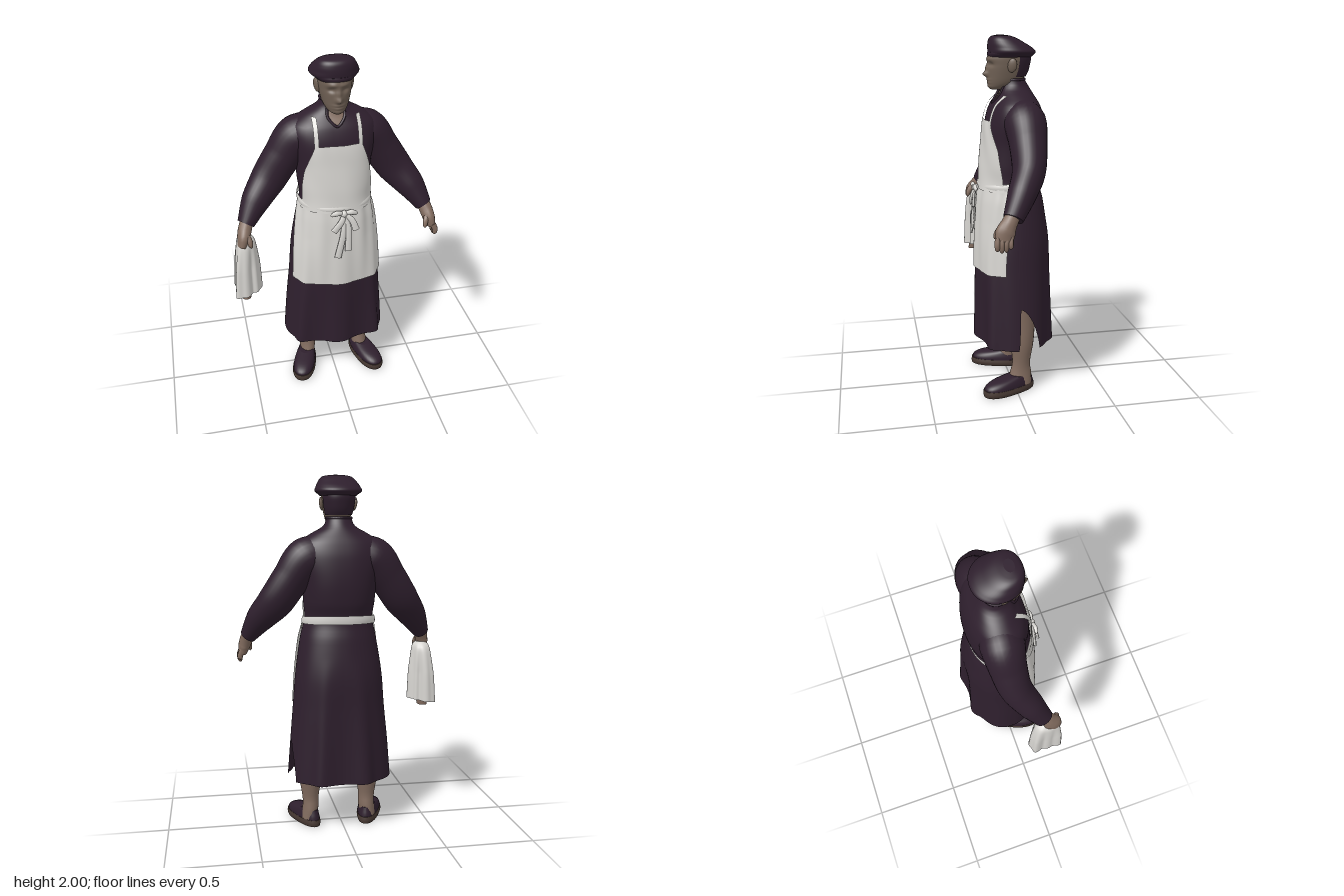
import * as THREE from 'three';

const mat = (name, color, double) => {
  const m = new THREE.MeshStandardMaterial({ color });
  m.name = name;
  if (double) m.side = THREE.DoubleSide;
  return m;
};
const gauss = (d, s) => Math.exp(-(d * d) / (s * s));
const lerp = THREE.MathUtils.lerp;
const wrapAngle = (a) => Math.atan2(Math.sin(a), Math.cos(a));

// Grid surface from fn(u, v): u runs right and v runs up as seen from outside
function grid(nu, nv, fn, { wrap = false, caps = false } = {}) {
  const pos = [], idx = [], cols = wrap ? nu : nu + 1;
  for (let j = 0; j <= nv; j++) for (let i = 0; i < cols; i++) pos.push(...fn(i / nu, j / nv));
  for (let j = 0; j < nv; j++) for (let i = 0; i < nu; i++) {
    const i2 = (i + 1) % cols, a = j * cols + i, b = j * cols + i2;
    idx.push(a, b, b + cols, a, b + cols, a + cols);
  }
  if (caps) for (const row of [0, nv]) {
    const start = pos.length / 3, c = [0, 0, 0];
    for (let i = 0; i < cols; i++) for (let k = 0; k < 3; k++) {
      const p = pos[(row * cols + i) * 3 + k];
      pos.push(p);
      c[k] += p / cols;
    }
    pos.push(...c);
    for (let i = 0; i < cols; i++) {
      const a = start + i, b = start + (i + 1) % cols;
      idx.push(start + cols, row ? a : b, row ? b : a);
    }
  }
  const g = new THREE.BufferGeometry();
  g.setAttribute('position', new THREE.Float32BufferAttribute(pos, 3));
  g.setIndex(idx);
  g.computeVertexNormals();
  return g;
}

// Smooth interpolation of cross-sections [y, cx, cz, rx, rz, power]
function section(rows, y) {
  let i = 0;
  while (i < rows.length - 2 && y > rows[i + 1][0]) i++;
  const a = rows[i], b = rows[i + 1], p = rows[i - 1] || a, n = rows[i + 2] || b;
  const h = b[0] - a[0], t = THREE.MathUtils.clamp((y - a[0]) / h, 0, 1), t2 = t * t, t3 = t2 * t;
  return a.map((v, k) => v * (2 * t3 - 3 * t2 + 1) + b[k] * (3 * t2 - 2 * t3)
    + (t3 - 2 * t2 + t) * h * (b[k] - p[k]) / (b[0] - p[0]) + (t3 - t2) * h * (n[k] - v) / (n[0] - a[0]));
}
// Point on a sectioned body; angle 0 is the front, growing towards +x
function ringPoint(rows, y, ang, off = 0) {
  const [, cx, cz, rx, rz, n] = section(rows, y), s = Math.sin(ang), c = Math.cos(ang);
  return [cx + (rx + off) * Math.sign(s) * Math.abs(s) ** (2 / n), y,
    cz + (rz + off) * Math.sign(c) * Math.abs(c) ** (2 / n)];
}
function loft(rows, nu = 32, nv = 24, mod = (p) => p) {
  const y0 = rows[0][0], y1 = rows[rows.length - 1][0];
  return grid(nu, nv, (u, v) => mod(ringPoint(rows, lerp(y0, y1, v), u * Math.PI * 2), u * Math.PI * 2),
    { wrap: true, caps: true });
}
// Tube through points [x, y, z, depth radius, side radius]
function sweep(pts, { nu = 12, nv = 12, tip = false } = {}) {
  const curve = new THREE.CatmullRomCurve3(pts.map((p) => new THREE.Vector3(p[0], p[1], p[2])));
  return grid(nu, nv, (u, v) => {
    const c = curve.getPoint(v), T = curve.getTangent(v), f = v * (pts.length - 1);
    const i = Math.min(Math.floor(f), pts.length - 2), N = new THREE.Vector3(0, 0, 1);
    N.addScaledVector(T, -T.z).normalize();
    const B = new THREE.Vector3().crossVectors(T, N);
    const k = tip && v > 0.75 ? Math.sqrt(1 - 0.93 * ((v - 0.75) / 0.25) ** 2) : 1;
    const ra = lerp(pts[i][3], pts[i + 1][3], f - i) * k, rb = lerp(pts[i][4], pts[i + 1][4], f - i) * k;
    const a = u * Math.PI * 2;
    return c.addScaledVector(N, ra * Math.cos(a)).addScaledVector(B, rb * Math.sin(a)).toArray();
  }, { wrap: true, caps: true });
}

const BODY = [
  [0.28, 0.01, -0.012, 0.3, 0.195, 2.35], [0.5, 0.01, -0.01, 0.282, 0.196, 2.35],
  [0.7, 0.012, -0.008, 0.263, 0.198, 2.35], [0.9, 0.012, -0.008, 0.246, 0.199, 2.3],
  [1.1, 0.013, 0, 0.216, 0.182, 2.2], [1.21, 0.01, 0.005, 0.193, 0.163, 2.2],
  [1.3, 0.01, -0.01, 0.2, 0.17, 2.3], [1.42, 0.01, -0.022, 0.21, 0.168, 2.4],
  [1.55, 0.01, -0.025, 0.235, 0.155, 2.4], [1.63, 0.01, -0.027, 0.225, 0.13, 2.3],
  [1.68, 0.01, -0.03, 0.16, 0.1, 2.1], [1.72, 0.01, -0.025, 0.09, 0.082, 2], [1.77, 0.01, -0.015, 0.068, 0.062, 2],
];
const FOLDS = [0.75, -0.75, 2.78, -2.82, 0];
function bodyPoint(y, ang, off = 0) {
  const a = wrapAngle(ang), depth = THREE.MathUtils.clamp((1 - y) / 0.7, 0, 1);
  return ringPoint(BODY, y, ang, off + 0.03 * depth * FOLDS.reduce((s, f) => s + gauss(a - f, 0.19), 0));
}
function bodyZ(x, y) {
  const [, cx, cz, rx, rz, n] = section(BODY, y);
  return cz + rz * Math.max(0, 1 - Math.abs((x - cx) / rx) ** n) ** (1 / n);
}

const HEAD = [
  [1.712, 0.012, 0.075, 0.026, 0.03, 2], [1.725, 0.012, 0.062, 0.046, 0.052, 2],
  [1.75, 0.012, 0.035, 0.064, 0.085, 2.1], [1.79, 0.012, 0.017, 0.077, 0.104, 2.2],
  [1.84, 0.012, 0.009, 0.087, 0.113, 2.2], [1.89, 0.012, 0.006, 0.09, 0.115, 2.2], [1.93, 0.012, 0.006, 0.075, 0.09, 2.1],
];
// Nose, brow, eye sockets, lips and chin pushed out of the head
function faceShape([x, y, z], ang) {
  if (Math.cos(ang) <= 0.1) return [x, y, z];
  const d = x - 0.012, e = Math.abs(d);
  return [x, y, z + 0.027 * gauss(d, 0.016) * gauss(y - 1.793, 0.016) + 0.014 * gauss(d, 0.013) * gauss(y - 1.825, 0.025)
    - 0.012 * gauss(e - 0.036, 0.02) * gauss(y - 1.845, 0.014) + 0.006 * gauss(e - 0.03, 0.03) * gauss(y - 1.872, 0.011)
    + 0.007 * gauss(d, 0.028) * (gauss(y - 1.764, 0.007) + gauss(y - 1.748, 0.007)) + 0.008 * gauss(d, 0.03) * gauss(y - 1.727, 0.012)];
}

export function createModel() {
  const model = new THREE.Group();
  const cloth = mat('dark plum cloth', 0x2e1f2d, true), linen = mat('white linen', 0xd6d4d0, true);
  const skin = mat('skin', 0x826c5f), faceSkin = mat('shaded face skin', 0x6f6054), leather = mat('brown sole', 0x463832);
  const add = (name, geo, material, parent = model) => {
    const m = new THREE.Mesh(geo, material);
    m.name = name;
    parent.add(m);
    return m;
  };
  const TAU = Math.PI * 2;

  // Robe: skirt with an arched slit on its left side, and upper body with a V neck
  const hem = (a) => {
    const t = (a - 1.54) / 0.55;
    return t < 0 || t > 1 ? 0.285 : 0.29 + 0.235 * Math.min(1, t * 20) * (1 - t ** 1.6) ** 0.8;
  };
  add('skirt', grid(240, 40, (u, v) => bodyPoint(lerp(hem(u * TAU), 1.22, v), u * TAU), { wrap: true }), cloth);
  const neckline = (a) => 1.765 - 0.125 * Math.max(0, 1 - Math.abs(wrapAngle(a)) / 0.8);
  add('robeTop', grid(80, 40, (u, v) => bodyPoint(lerp(1.18, neckline(u * TAU), v), u * TAU), { wrap: true }), cloth);
  const edge = Array.from({ length: 40 }, (_, i) =>
    new THREE.Vector3(...bodyPoint(neckline(i / 40 * TAU), i / 40 * TAU, 0.001)));
  add('collar', new THREE.TubeGeometry(new THREE.CatmullRomCurve3(edge, true), 80, 0.007, 6, true), cloth);
  add('chest', grid(48, 12, (u, v) => bodyPoint(lerp(1.58, 1.73, v), u * TAU, -0.008), { wrap: true }), skin);

  // Head, ears, neck, hair and cap
  add('neck', loft([[1.62, 0.012, -0.02, 0.066, 0.06, 2], [1.71, 0.012, -0.012, 0.058, 0.06, 2],
    [1.8, 0.012, -0.013, 0.06, 0.066, 2]]), faceSkin);
  add('head', loft(HEAD, 72, 56, faceShape), faceSkin);
  add('hair', grid(30, 10, (u, v) => ringPoint(HEAD, lerp(1.78, 1.9, v), lerp(1.9, TAU - 1.9, u), 0.005)), cloth);
  for (const s of [1, -1]) {
    const ear = add('ear', new THREE.SphereGeometry(1, 14, 10), faceSkin);
    ear.scale.set(0.012, 0.038, 0.026);
    ear.position.set(0.012 + s * 0.092, 1.842, 0.004);
    ear.rotation.set(-0.2, s * -0.35, s * -0.15);
  }
  add('cap', loft([[1.888, 0.012, -0.002, 0.102, 0.12, 2.1], [1.91, 0.012, -0.01, 0.13, 0.13, 2.1],
    [1.935, 0.012, 0.002, 0.123, 0.12, 2.1], [1.96, 0.012, 0.022, 0.109, 0.098, 2.2],
    [1.982, 0.012, 0.038, 0.093, 0.075, 2.2], [1.995, 0.012, 0.048, 0.07, 0.05, 2.2], [2, 0.012, 0.052, 0.035, 0.025, 2]],
    48, 30), cloth);
  add('capBand', loft([[1.885, 0.012, 0, 0.1, 0.12, 2.1], [1.9, 0.012, -0.002, 0.116, 0.126, 2.1],
    [1.91, 0.012, -0.004, 0.12, 0.126, 2.1]], 48, 8), cloth);

  // Arms and hands
  for (const s of [1, -1]) {
    const put = (pts) => pts.map(([x, ...r]) => [0.01 + s * (x - 0.01), ...r]);
    const side = s > 0 ? 'left' : 'right';
    add(side + 'Sleeve', sweep(put([[0.1, 1.565, -0.03, 0.105, 0.11], [0.2, 1.54, -0.045, 0.116, 0.12],
      [0.28, 1.44, -0.045, 0.1, 0.105], [0.365, 1.315, -0.03, 0.088, 0.1], [0.45, 1.212, 0.025, 0.075, 0.08],
      [0.517, 1.107, 0.083, 0.053, 0.047]]), { nu: 28, nv: 36 }), cloth);
    const hand = new THREE.Group();
    hand.name = side + 'Hand';
    model.add(hand);
    add('palm', sweep(put([[0.51, 1.125, 0.08, 0.038, 0.036], [0.526, 1.085, 0.105, 0.042, 0.038],
      [0.538, 1.045, 0.126, 0.052, 0.035], [0.55, 1.0, 0.135, 0.046, 0.024]]), { nu: 16 }), skin, hand);
    if (s > 0) for (let i = 0; i < 4; i++) {
      const z = 0.1 + i * 0.023, low = [0.965, 0.948, 0.945, 0.955][i];
      add('finger', sweep(put([[0.55, 1.02, z, 0.014, 0.018], [0.565, 0.985, z + 0.004, 0.014, 0.016],
        [0.562, low, z + 0.003, 0.012, 0.013]]), { nu: 8, tip: true }), skin, hand);
    }
    add('thumb', sweep(put([[0.53, 1.075, 0.13, 0.02, 0.02], [0.51, 1.045, 0.16, 0.016, 0.016],
      [0.502, 1.005, 0.175, 0.012, 0.012]]), { nu: 8, tip: true }), skin, hand);

    // Legs and shoes
    const x = s > 0 ? 0.182 : -0.15;
    add(side + 'Leg', loft([[0.04, x + s * 0.01, -0.02, 0.045, 0.07, 2], [0.1, x, -0.03, 0.046, 0.062, 2],
      [0.16, x, -0.033, 0.046, 0.051, 2], [0.28, x, -0.037, 0.064, 0.065, 2], [0.4, x, -0.04, 0.069, 0.069, 2],
      [0.62, x, -0.02, 0.075, 0.075, 2]], 24, 24), skin);
    const shoe = new THREE.Group();
    shoe.name = side + 'Shoe';
    shoe.position.set(s > 0 ? 0.208 : -0.18, 0, 0.043);
    shoe.rotation.y = s * 0.33;
    model.add(shoe);
    const footShape = ([px, y, z]) => [px * (0.92 + 0.9 * z), y, z];
    add('sole', loft([[0, 0, 0, 0.068, 0.158, 2.3], [0.017, 0, 0, 0.074, 0.161, 2.3], [0.038, 0, 0, 0.07, 0.158, 2.3]],
      36, 6, footShape), leather, shoe);
    add('shoeUpper', loft([[0.03, 0, 0, 0.069, 0.156, 2.3], [0.055, 0, -0.003, 0.067, 0.149, 2.2],
      [0.076, 0, -0.022, 0.06, 0.124, 2.1], [0.093, 0, -0.065, 0.05, 0.076, 2]], 36, 12, footShape), cloth, shoe);
  }

  // Apron: bib, lower panel, belt and neck straps
  const BIB = [[1.17, 72], [1.25, 67], [1.4, 52], [1.5, 33], [1.55, 26]];
  const bibAngle = (y) => {
    const i = Math.max(0, BIB.findIndex((b) => b[0] >= y - 1e-6) - 1), [a, b] = [BIB[i], BIB[i + 1]];
    return THREE.MathUtils.degToRad(lerp(a[1], b[1], (y - a[0]) / (b[0] - a[0])));
  };
  add('apronBib', grid(32, 24, (u, v) => {
    const y = lerp(1.17, 1.55, v);
    return bodyPoint(y, (u * 2 - 1) * bibAngle(y), 0.013 + 0.002 * Math.sin(u * 14 + y * 20));
  }), linen);
  add('apronPanel', grid(60, 30, (u, v) => {
    const y = lerp(0.71 + 0.012 * (u - 0.5) ** 2, 1.19, v);
    return bodyPoint(y, (u * 2 - 1) * (1.25 + 0.4 * v ** 2), 0.009 + 0.003 * Math.sin(u * 40) * (0.4 + v));
  }), linen);
  add('apronBelt', grid(64, 4, (u, v) => {
    const front = (1 + Math.cos(u * TAU)) / 2;
    return bodyPoint(1.188 + (0.048 - 0.018 * front) * v - 0.012 * front, u * TAU,
      0.01 + 0.005 * Math.sin(v * Math.PI));
  }, { wrap: true }), linen);
  for (const x of [-0.107, 0.129]) add('apronStrap', grid(2, 14, (u, v) => {
    const y = lerp(1.53, 1.685, v), px = x + (u - 0.5) * 0.024;
    return [px, y, bodyZ(px, y) + 0.014];
  }), linen);

  // Bow tied at the front of the waist
  const bow = new THREE.Group();
  bow.name = 'apronBow';
  model.add(bow);
  const knot = add('knot', new THREE.SphereGeometry(0.02, 12, 8), linen, bow);
  knot.position.set(0.025, 1.172, 0.2);
  for (const [ex, ey] of [[-0.035, 1.075], [-0.012, 0.905], [0.048, 0.945], [0.09, 1.075]])
    add('ribbon', sweep([[0.025, 1.175, 0.2, 0.007, 0.012], [lerp(0.03, ex, 0.45) + 0.01, lerp(1.175, ey, 0.4), 0.214, 0.008, 0.017],
      [ex, ey, 0.22, 0.008, 0.02]], { nu: 10 }), linen, bow);
  for (const s of [1, -1]) add('bowLoop', sweep([[0.025, 1.175, 0.2, 0.008, 0.01],
    [0.025 + s * 0.04, 1.182, 0.208, 0.012, 0.016], [0.025 + s * 0.075, 1.168, 0.203, 0.008, 0.012]], { nu: 10, tip: true }), linen, bow);

  // Folded towel hanging in three lobes from the right hand
  const towelFold = ([x, y, z], a) => {
    const k = 1 + (0.17 * Math.cos(3 * (a - 1.5)) + 0.07 * Math.cos(8 * a)) * THREE.MathUtils.clamp((1.06 - y) / 0.2, 0, 1);
    return [-0.506 + (x + 0.506) * k, y + 0.03 * Math.sin(a) * (1.04 - y), 0.1 + (z - 0.1) * k];
  };
  add('towel', loft([[0.69, -0.516, 0.1, 0.074, 0.088, 2.3], [0.85, -0.513, 0.1, 0.066, 0.082, 2.3],
    [0.98, -0.509, 0.102, 0.055, 0.072, 2.3], [1.025, -0.507, 0.105, 0.046, 0.058, 2.2],
    [1.042, -0.506, 0.108, 0.028, 0.035, 2]], 72, 24, towelFold), linen);
  add('towelLining', loft([[0.655, -0.525, 0.12, 0.028, 0.045, 2.3], [0.75, -0.515, 0.11, 0.03, 0.045, 2.3]], 24, 4), skin);
  return model;
}
